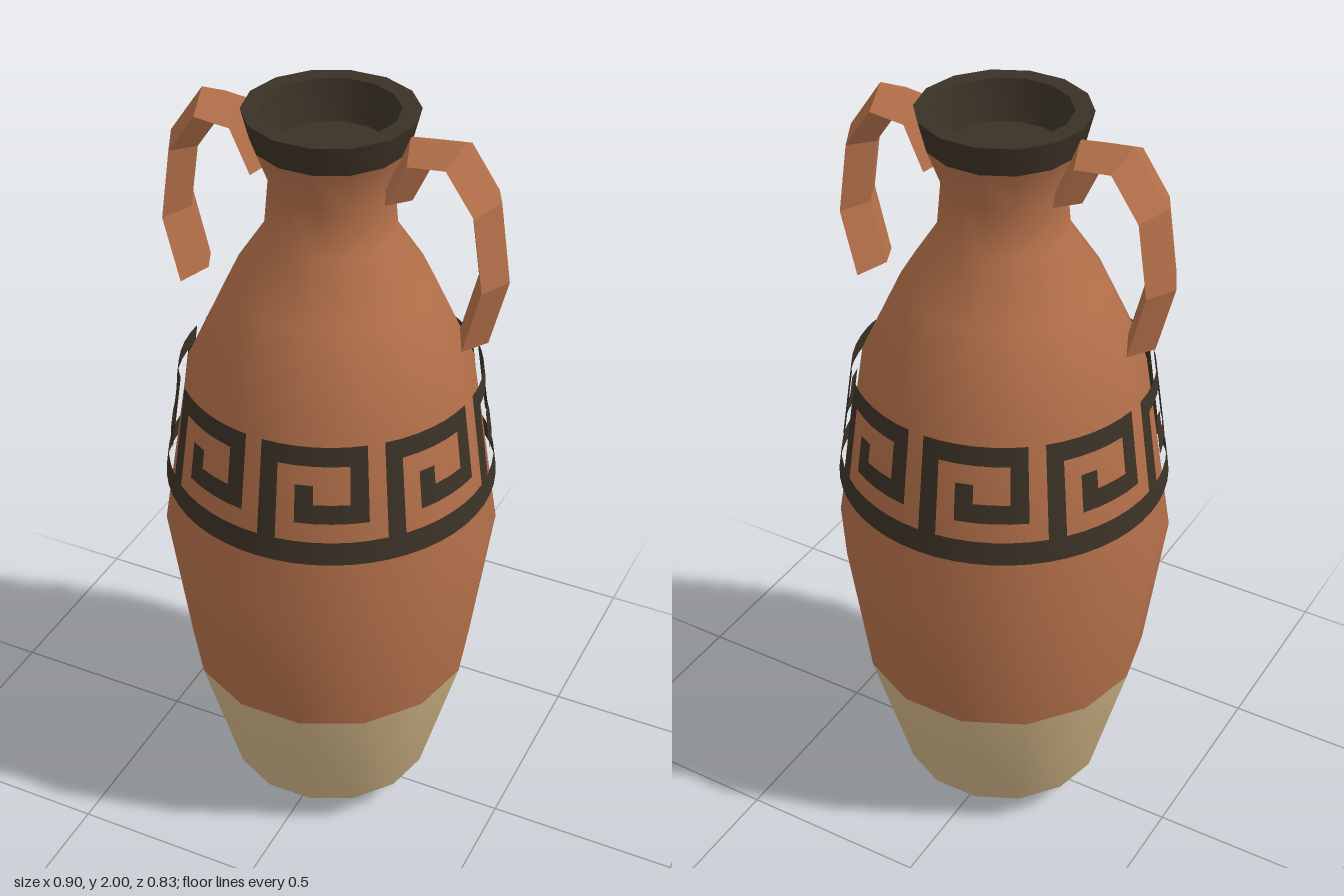
import * as THREE from 'three';
import { mergeGeometries, toCreasedNormals } from 'three/addons/utils/BufferGeometryUtils.js';

const SIDES = 14;

function material(name, color, side = THREE.FrontSide) {
  const m = new THREE.MeshStandardMaterial({ color, side });
  m.name = name;
  return m;
}

function mesh(name, geometry, mat) {
  const m = new THREE.Mesh(geometry, mat);
  m.name = name;
  return m;
}

// Turned surface with a corner on the x axis
function turned(profile) {
  const points = profile.map(([r, y]) => new THREE.Vector2(r, y));
  return new THREE.LatheGeometry(points, SIDES, Math.PI / 2);
}

// Curved plate on the tapering pattern band, between two angles and two heights
const bandRadius = y => THREE.MathUtils.mapLinear(y, 1.02, 1.33, 0.416, 0.372);
function plate(a0, a1, y0, y1) {
  const steps = Math.max(1, Math.round((a1 - a0) / 0.112));
  const g = new THREE.CylinderGeometry(bandRadius(y1), bandRadius(y0), y1 - y0, steps, 1, true, a0, a1 - a0);
  return g.translate(0, (y0 + y1) / 2, 0);
}

// Faceted bar with a diamond section swept along a path in the xy plane
function handleGeometry(path, halfThick, halfWide) {
  const pts = path.map(([x, y]) => new THREE.Vector2(x, y));
  const last = pts.length - 1;
  const rings = pts.map((p, i) => {
    const before = pts[Math.max(i, 1)].clone().sub(pts[Math.max(i, 1) - 1]).normalize();
    const j = Math.min(i, last - 1);
    const after = pts[j + 1].clone().sub(pts[j]).normalize();
    const t = before.clone().add(after).normalize();
    const h = halfThick / t.dot(after);
    const nx = -t.y * h, ny = t.x * h;
    return [
      [p.x + nx, p.y + ny, 0], [p.x, p.y, halfWide],
      [p.x - nx, p.y - ny, 0], [p.x, p.y, -halfWide],
    ];
  });
  const pos = [];
  const quad = (a, b, c, d) => pos.push(...a, ...b, ...c, ...a, ...c, ...d);
  for (let i = 0; i < last; i++) {
    for (let k = 0; k < 4; k++) {
      const n = (k + 1) % 4;
      quad(rings[i][k], rings[i][n], rings[i + 1][n], rings[i + 1][k]);
    }
  }
  quad(...rings[last]);
  quad(...[...rings[0]].reverse());
  const g = new THREE.BufferGeometry();
  g.setAttribute('position', new THREE.Float32BufferAttribute(pos, 3));
  g.computeVertexNormals();
  return g;
}

export function createModel() {
  const clay = material('terracotta', 0xb4704a);
  const cream = material('cream', 0xd2b688);
  const dark = material('dark glaze', 0x3b3226);
  const paint = material('dark paint', 0x3b3226, THREE.DoubleSide);

  const vase = new THREE.Group();
  vase.name = 'vase';

  // Pale lower body and its flat underside
  vase.add(mesh('lowerBody', turned([[0.175, 0], [0.27, 0.09], [0.372, 0.46]]), cream));
  const base = new THREE.CircleGeometry(0.175, SIDES).rotateX(Math.PI / 2);
  vase.add(mesh('base', base, cream));

  // Belly, shoulder and neck
  vase.add(mesh('upperBody', turned([
    [0.372, 0.46], [0.425, 0.85], [0.347, 1.35], [0.246, 1.565],
    [0.157, 1.7], [0.146, 1.82], [0.186, 1.925],
  ]), clay));

  // Rim with the hollow mouth
  const rim = turned([[0.15, 1.925], [0.186, 1.925], [0.205, 2], [0.16, 2], [0.14, 1.9], [0, 1.9]]);
  vase.add(mesh('rim', toCreasedNormals(rim, 0.6), dark));

  // Painted ring and eight key-pattern units, each seven cells wide
  const pattern = new THREE.Group();
  pattern.name = 'keyPattern';
  pattern.add(mesh('patternRing', plate(0, Math.PI * 2, 1.02, 1.08), paint));
  const cell = Math.PI / 28;
  const strokes = [
    [0, 1, 1.08, 1.33],
    [1, 6, 1.28, 1.33],
    [5, 6, 1.18, 1.28],
    [2, 6, 1.13, 1.18],
    [2, 3, 1.18, 1.23],
  ];
  const unit = mergeGeometries(strokes.map(([a, b, y0, y1]) => plate(a * cell, b * cell, y0, y1)));
  for (let i = 0; i < 8; i++) {
    const key = mesh('patternKey', unit, paint);
    key.rotation.y = i * Math.PI / 4;
    pattern.add(key);
  }
  vase.add(pattern);

  // Pair of handles
  const handle = handleGeometry([
    [0.17, 1.83], [0.22, 1.937], [0.312, 1.947], [0.383, 1.845], [0.41, 1.663], [0.368, 1.498],
  ], 0.037, 0.077);
  vase.add(mesh('leftHandle', handle, clay));
  const right = mesh('rightHandle', handle, clay);
  right.rotation.y = Math.PI;
  vase.add(right);

  return vase;
}
